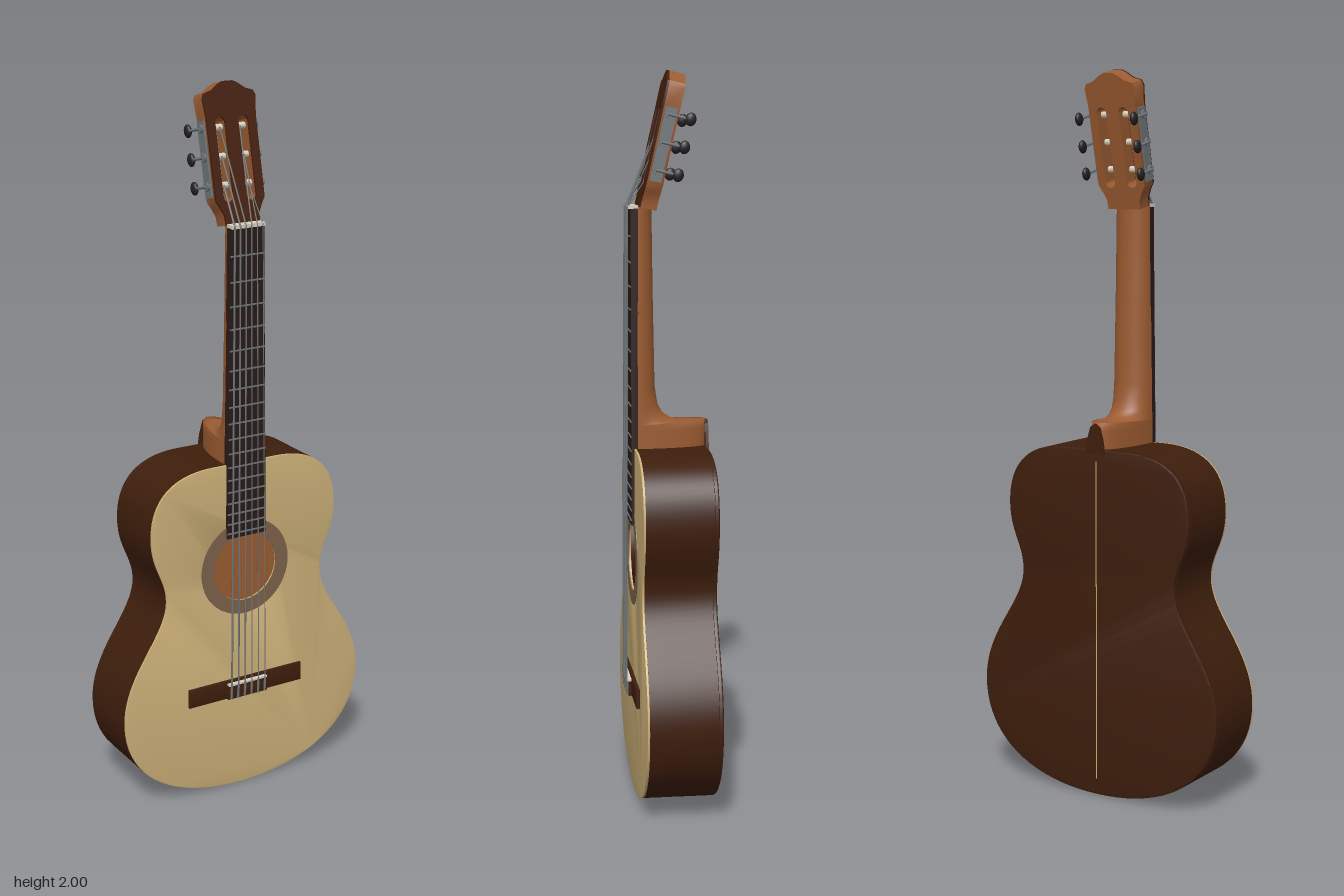
import * as THREE from 'three';
import { toCreasedNormals } from 'three/addons/utils/BufferGeometryUtils.js';

const mat = (name, color) => {
  const m = new THREE.MeshStandardMaterial({ color });
  m.name = name;
  return m;
};

export function createModel() {
  const guitar = new THREE.Group();
  guitar.name = 'guitar';
  const spruce = mat('spruce', 0xccb078);
  const rosewood = mat('rosewood', 0x3e1e0c);
  const veneerWood = mat('veneer', 0x45200e);
  const mahogany = mat('mahogany', 0x9c5c32);
  const ebony = mat('ebony', 0x2a1b18);
  const inlay = mat('rosette inlay', 0x7d624c);
  const metal = mat('metal', 0x70767a);
  const bone = mat('bone', 0xd8d2c0);
  const black = mat('button black', 0x242022);

  const add = (name, geo, material, parent = guitar) => {
    const m = new THREE.Mesh(geo, material);
    m.name = name;
    parent.add(m);
    return m;
  };
  const box = (name, material, w, h, d, x, y, z, parent) => {
    const m = add(name, new THREE.BoxGeometry(w, h, d), material, parent);
    m.position.set(x, y, z);
    return m;
  };
  // Extrude a shape between two z levels, with smooth curved walls
  const slab = (shape, z0, z1, bevel = 0) => {
    const g = new THREE.ExtrudeGeometry(shape, {
      depth: z1 - z0 - 2 * bevel, bevelEnabled: bevel > 0, bevelSize: bevel,
      bevelThickness: bevel, bevelOffset: -bevel, bevelSegments: 2, curveSegments: 32,
    });
    g.translate(0, 0, z0 + bevel);
    return toCreasedNormals(g, 0.6);
  };
  // Round bar between two points
  const rod = (name, a, b, r, material, parent) => {
    const dir = b.clone().sub(a);
    const m = add(name, new THREE.CylinderGeometry(r, r, dir.length(), 8), material, parent);
    m.position.copy(a).add(b).multiplyScalar(0.5);
    m.quaternion.setFromUnitVectors(new THREE.Vector3(0, 1, 0), dir.normalize());
    return m;
  };
  const V = (x, y, z) => new THREE.Vector3(x, y, z);
  const poly = (pts) => new THREE.Shape(pts.map(([x, y]) => new THREE.Vector2(x, y)));
  const mirrored = (pts) => [...pts, ...pts.filter((p) => p[0] > 0.0001).reverse().map(([x, y]) => [-x, y])];
  const circle = (r, y) => new THREE.Path().absarc(0, y, r, 0, Math.PI * 2, true);

  // Body outline, scaled about its centre for inner walls
  const half = new THREE.Path();
  half.moveTo(0, 0.004);
  half.bezierCurveTo(0.22, 0.004, 0.385, 0.1, 0.385, 0.28);
  half.bezierCurveTo(0.385, 0.43, 0.25, 0.52, 0.25, 0.62);
  half.bezierCurveTo(0.25, 0.69, 0.295, 0.72, 0.295, 0.81);
  half.bezierCurveTo(0.295, 0.93, 0.22, 0.983, 0.1, 0.983);
  half.lineTo(0, 0.983);
  const halfPts = half.getPoints(20).map((p) => [p.x, p.y]);
  const outline = (s = 1) => poly(mirrored(halfPts.map(([x, y]) => [x * s, 0.48 + (y - 0.48) * s])));

  const HOLE_Y = 0.675;
  const ribs = outline();
  ribs.holes.push(outline(0.97));
  add('ribs', slab(ribs, -0.1, 0.084), rosewood);
  add('back', slab(outline(), -0.112, -0.1, 0.004), rosewood);
  add('innerBack', new THREE.ShapeGeometry(outline(0.97)).translate(0, 0, -0.098), mahogany);
  const top = outline();
  top.holes.push(circle(0.1, HOLE_Y));
  add('soundboard', slab(top, 0.084, 0.09, 0.001), spruce);
  box('backStrip', spruce, 0.003, 0.9, 0.001, 0, 0.5, -0.112);
  const rosette = new THREE.Shape().absarc(0, HOLE_Y, 0.14, 0, Math.PI * 2);
  rosette.holes.push(circle(0.1, HOLE_Y));
  add('rosette', slab(rosette, 0.089, 0.092), inlay);

  // Bridge with wings, tie block and saddle
  add('bridge', slab(poly([[-0.185, 0.285], [0.185, 0.285], [0.185, 0.34], [-0.185, 0.34]]), 0.089, 0.1, 0.003), rosewood);
  box('tieBlock', rosewood, 0.13, 0.024, 0.012, 0, 0.298, 0.102);
  box('saddle', bone, 0.125, 0.006, 0.014, 0, 0.33, 0.104);

  // Neck and heel: D-shaped sections [y, half width, back z, tip lift]
  const sections = [
    [1.665, 0.052, 0.028, 0], [1.63, 0.051, 0.036, 0], [1.4, 0.054, 0.033, 0], [1.15, 0.058, 0.028, 0],
    [1.1, 0.059, 0.02, 0], [1.075, 0.059, 0.006, 0], [1.06, 0.06, -0.018, 0], [1.052, 0.06, -0.05, 0],
    [1.049, 0.06, -0.085, 0.005], [1.047, 0.06, -0.112, 0.01], [1.03, 0.06, -0.115, 0.004], [0.975, 0.06, -0.113, 0],
  ];
  const N = 20, pos = [], idx = [];
  sections.forEach(([y, w, zb, lift], j) => {
    for (let i = 0; i <= N; i++) {
      const a = (i / N) * Math.PI, s = Math.sin(a);
      const front = j === 0 ? 0.07 : 0.08;
      pos.push(w * Math.cos(a), y + lift * s, front - (front - zb) * s);
      if (j && i < N) {
        const p = (j - 1) * (N + 1) + i, q = p + N + 1;
        idx.push(p, p + 1, q, p + 1, q + 1, q);
      }
    }
  });
  const neckGeo = new THREE.BufferGeometry();
  neckGeo.setAttribute('position', new THREE.Float32BufferAttribute(pos, 3));
  neckGeo.setIndex(idx);
  neckGeo.computeVertexNormals();
  const neckWood = mahogany;
  neckWood.side = THREE.DoubleSide;
  add('neck', neckGeo, neckWood);
  add('heelCap', slab(poly(mirrored([[0, 0.97], [0.03, 0.97], [0.024, 1.01], [0.014, 1.045], [0, 1.055]])), -0.12, -0.111), rosewood);

  // Fretboard, nut and frets
  const NUT = 1.635, SADDLE = 0.32;
  const boardHalf = (y) => 0.051 + (0.011 * (NUT - y)) / 0.865;
  add('fretboard', slab(poly(mirrored([[0.062, 0.77], [0.051, NUT]])), 0.078, 0.098), ebony);
  box('nut', bone, 0.102, 0.01, 0.026, 0, NUT + 0.004, 0.091);
  for (let n = 1; n <= 18; n++) {
    const y = SADDLE + (NUT - SADDLE) * Math.pow(2, -n / 12);
    box('fret', metal, 2 * boardHalf(y), 0.004, 0.003, 0, y, 0.099);
  }

  // Headstock, tilted back from the nut
  const head = new THREE.Group();
  head.name = 'headstock';
  head.position.set(0, 1.64, 0.077);
  head.rotation.x = -0.225;
  guitar.add(head);
  const headHalf = [[0.051, 0], [0.053, 0.025], [0.062, 0.045], [0.074, 0.065], [0.075, 0.28], [0.08, 0.33],
    [0.074, 0.343], [0.05, 0.35], [0.03, 0.364], [0.015, 0.371], [0, 0.371]];
  const headShape = poly(mirrored(headHalf));
  for (const s of [-1, 1]) {
    const slot = new THREE.Path();
    slot.moveTo(s * 0.035 - 0.015, 0.075);
    slot.absarc(s * 0.035, 0.265, 0.015, Math.PI, 0, true);
    slot.absarc(s * 0.035, 0.075, 0.015, 0, -Math.PI, true);
    headShape.holes.push(slot);
  }
  add('headCore', slab(headShape, -0.05, -0.006), mahogany, head);
  add('headVeneer', slab(headShape, -0.006, 0), veneerWood, head);

  // Tuning machines
  const pegY = [0.105, 0.18, 0.255];
  for (const s of [-1, 1]) {
    box('tunerPlate', metal, 0.005, 0.2, 0.032, s * 0.078, 0.175, -0.027, head);
    for (const y of pegY) {
      rod('roller', V(s * 0.016, y, -0.024), V(s * 0.054, y, -0.024), 0.009, bone, head);
      rod('gear', V(s * 0.079, y, -0.024), V(s * 0.087, y, -0.024), 0.012, metal, head);
      rod('tunerShaft', V(s * 0.087, y, -0.02), V(s * 0.087, y, -0.075), 0.004, metal, head);
      const button = add('tunerButton', new THREE.SphereGeometry(1, 16, 10), black, head);
      button.scale.set(0.009, 0.018, 0.015);
      button.position.set(s * 0.088, y, -0.082);
    }
  }

  // Strings, from tie block over saddle and nut to the rollers
  head.updateMatrixWorld(true);
  for (let i = 0; i < 6; i++) {
    const t = (i - 2.5) / 2.5, s = Math.sign(t), r = 0.0028 - 0.0003 * i;
    const saddle = V(t * 0.055, 0.33, 0.112), nut = V(t * 0.043, NUT + 0.004, 0.105);
    const peg = V(s * (0.028 + 0.004 * (Math.abs(t) * 2.5)), pegY[Math.round(2.5 - Math.abs(t) * 2.5)], -0.014);
    rod('string', saddle, nut, r, metal);
    rod('stringEnd', nut, peg.applyMatrix4(head.matrixWorld), r, metal);
    rod('stringTie', V(t * 0.055, 0.287, 0.109), saddle, 0.0035, metal);
  }
  return guitar;
}
